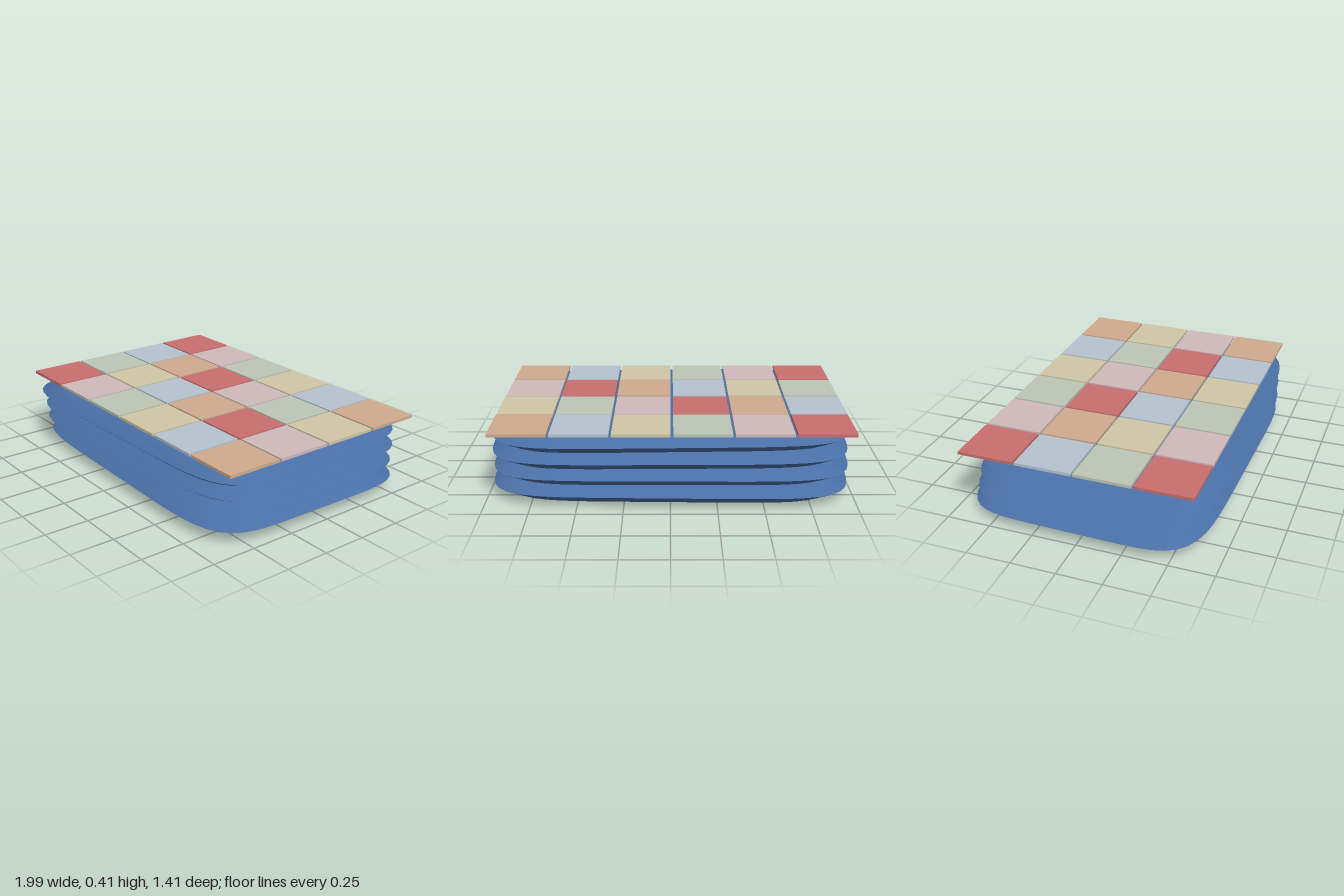
import * as THREE from 'three';
import { mergeVertices } from 'three/addons/utils/BufferGeometryUtils.js';

const material = (name, color) => new THREE.MeshStandardMaterial({ name, color });

// Revolved half cushion, warped from a circle to a soft-cornered rectangle.
function cushionHalf(points, halfX, halfZ) {
  const geo = new THREE.LatheGeometry(points.map(([r, y]) => new THREE.Vector2(r, y)), 96);
  const p = geo.attributes.position;
  const power = 6;
  for (let i = 0; i < p.count; i++) {
    const x = p.getX(i), z = p.getZ(i), r = Math.hypot(x, z);
    if (r < 1e-6) continue;
    const k = Math.pow(Math.abs(x / r) ** power + Math.abs(z / r) ** power, -1 / power);
    p.setX(i, x * k * halfX);
    p.setZ(i, z * k * halfZ);
  }
  geo.deleteAttribute('normal');
  geo.deleteAttribute('uv');
  const merged = mergeVertices(geo, 1e-5);
  merged.computeVertexNormals();
  return merged;
}

export function createModel() {
  const model = new THREE.Group();
  model.name = 'foldedQuilt';

  // Folded layers: domed faces meeting in a sharp outer ridge
  const blue = material('denimBlue', 0x4a6fa5);
  const top = [[1, 0], [0.91, 0.045], [0.87, 0.051], [0.78, 0.055], [0.6, 0.058], [0.3, 0.06], [0, 0.06]];
  const bottom = top.map(([r, y]) => [r, -y * 1.08]).reverse();
  const halves = [cushionHalf(top, 0.985, 0.678), cushionHalf(bottom, 0.985, 0.678)];
  const layers = [ // x, y, z, turn
    [-0.007, 0.065, -0.015, -0.022],
    [-0.007, 0.157, -0.002, -0.008],
    [0.003, 0.248, 0.005, 0.008],
    [0.003, 0.338, 0.017, 0.025],
  ];
  layers.forEach(([x, y, z, turn], i) => {
    const layer = new THREE.Group();
    layer.name = `foldedLayer${i + 1}`;
    halves.forEach((geo, h) => {
      const mesh = new THREE.Mesh(geo, blue);
      mesh.name = h ? 'layerUnderside' : 'layerTop';
      layer.add(mesh);
    });
    layer.position.set(x, y, z);
    layer.rotation.y = turn;
    model.add(layer);
  });

  // Patchwork squares laid in a repeating colour order, shifted on every row
  const fabrics = [
    material('rose', 0xc96f6f), material('blush', 0xd0baba), material('sage', 0xbcc6b6),
    material('straw', 0xd0c7a6), material('mist', 0xb6c4d0), material('apricot', 0xd0ab8e),
  ];
  const patchGeo = new THREE.BoxGeometry(0.312, 0.016, 0.312);
  for (let row = 0; row < 4; row++) {
    for (let col = 0; col < 6; col++) {
      const patch = new THREE.Mesh(patchGeo, fabrics[(row * 4 + col) % 6]);
      patch.name = `patch${row + 1}_${col + 1}`;
      patch.position.set(-0.822 + col * 0.3255, 0.407, -0.505 + row * 0.324);
      model.add(patch);
    }
  }
  return model;
}
